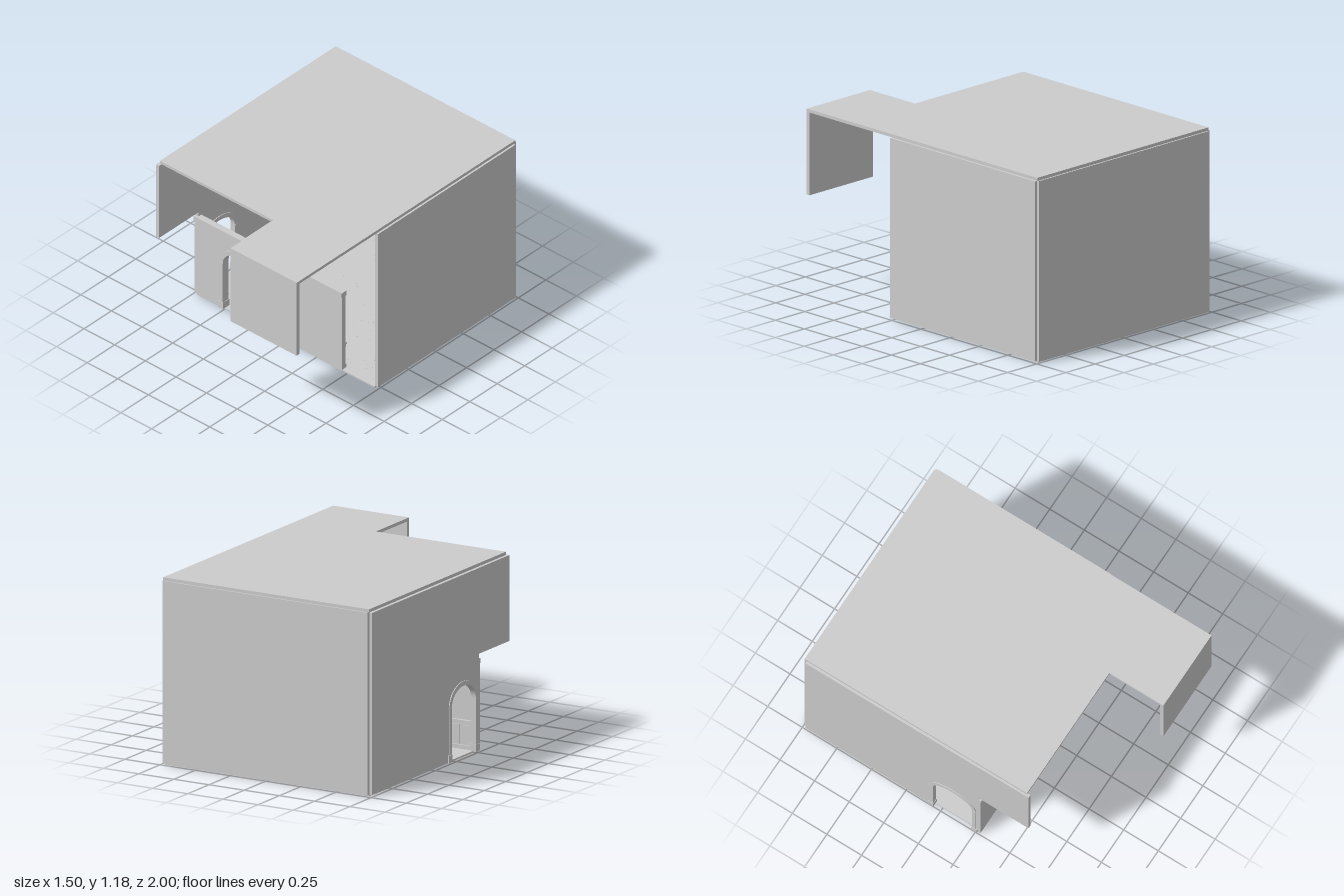
import * as THREE from 'three';
import { mergeGeometries } from 'three/addons/utils/BufferGeometryUtils.js';

const plaster = new THREE.MeshStandardMaterial({ color: 0xcccccc, side: THREE.DoubleSide });
plaster.name = 'plaster grey';

function add(parent, name, geometry) {
  const mesh = new THREE.Mesh(geometry, plaster);
  mesh.name = name;
  parent.add(mesh);
  return mesh;
}

// box given by its min and max on each axis
function box(parent, name, x0, x1, y0, y1, z0, z1) {
  const g = new THREE.BoxGeometry(x1 - x0, y1 - y0, z1 - z0);
  g.translate((x0 + x1) / 2, (y0 + y1) / 2, (z0 + z1) / 2);
  return add(parent, name, g);
}

function group(parent, name) {
  const g = new THREE.Group();
  g.name = name;
  parent.add(g);
  return g;
}

const FLOOR = 0.01, SPRING = 0.35;

// points of a flattened arch, from the left foot to the right foot
function archPoints(cx, halfWidth, rise) {
  const pts = [new THREE.Vector2(cx - halfWidth, FLOOR)];
  for (let i = 0; i <= 24; i++) {
    const a = Math.PI * (1 - i / 24);
    pts.push(new THREE.Vector2(cx + halfWidth * Math.cos(a), SPRING + rise * Math.sin(a)));
  }
  pts.push(new THREE.Vector2(cx + halfWidth, FLOOR));
  return pts;
}

function extrude(points, depth) {
  return new THREE.ExtrudeGeometry(new THREE.Shape(points), { depth, bevelEnabled: false });
}

// wall in local xy, outside facing +z, with an arched doorway, trim and plinths
function archWall(parent, name, u0, u1, top, cx, thickness, trimOut) {
  const g = group(parent, name);
  const V = (x, y) => new THREE.Vector2(x, y);
  add(g, 'wall', extrude([V(u0, FLOOR), ...archPoints(cx, 0.142, 0.11),
    V(u1, FLOOR), V(u1, top), V(u0, top)], thickness));
  const trim = add(g, 'archTrim', extrude(
    [...archPoints(cx, 0.168, 0.137), ...archPoints(cx, 0.14, 0.108).reverse()],
    thickness + trimOut * 2));
  trim.position.z = -trimOut;
  for (const s of [-1, 1]) {
    const c = cx + s * 0.157;
    box(g, 'plinth', c - 0.02, c + 0.02, FLOOR, 0.057, -trimOut - 0.003, thickness + trimOut + 0.003);
    box(g, 'impost', c - 0.016, c + 0.014, SPRING - 0.006, SPRING,
      -trimOut - 0.001, thickness + trimOut + 0.001);
  }
  return g;
}

// panelled dado along local x, facing +z; seams are the panel divisions
function wainscot(parent, name, u0, u1, seams) {
  const g = group(parent, name);
  box(g, 'skirting', u0, u1, FLOOR, 0.035, 0, 0.01);
  box(g, 'rail', u0, u1, 0.165, 0.182, 0, 0.008);
  box(g, 'cap', u0, u1, 0.182, 0.194, 0, 0.018);
  const ends = [u0, ...seams.filter(s => s > u0 + 0.05 && s < u1 - 0.05), u1];
  for (let i = 0; i + 1 < ends.length; i++) {
    box(g, 'panel', ends[i] + 0.014, ends[i + 1] - 0.014, 0.04, 0.16, 0, 0.005);
  }
  return g;
}

// sash window frame applied to the back wall
function windowFrame(parent, cx) {
  const g = group(parent, 'window');
  for (const s of [-1, 1]) box(g, 'jamb', cx + s * 0.165 - 0.007, cx + s * 0.165 + 0.007, 0.235, 0.75, 0, 0.02);
  box(g, 'mullion', cx - 0.006, cx + 0.006, 0.235, 0.75, 0, 0.015);
  box(g, 'sashRail', cx - 0.16, cx + 0.16, 0.486, 0.497, 0, 0.015);
  box(g, 'head', cx - 0.175, cx + 0.175, 0.747, 0.762, 0, 0.025);
  for (const u of [-0.17, 0, 0.17]) box(g, 'headBlock', cx + u - 0.01, cx + u + 0.01, 0.745, 0.766, 0, 0.028);
  box(g, 'sill', cx - 0.185, cx + 0.185, 0.215, 0.235, 0, 0.035);
  box(g, 'apron', cx - 0.17, cx + 0.17, 0.2, 0.215, 0, 0.015);
  g.position.z = -0.98;
}

// terrazzo chips set into the floor
function floorChips(parent) {
  let seed = 7;
  const rnd = () => (seed = (seed * 16807) % 2147483647) / 2147483647;
  const chips = [];
  for (let i = 0; i < 500; i++) {
    const r = 0.003 + rnd() * 0.004;
    const c = new THREE.CylinderGeometry(r, r, 0.0105, 5);
    c.rotateY(rnd() * 6.28);
    c.translate(-0.7 + rnd() * 1.4, 0.00525, -0.96 + rnd() * 1.2);
    chips.push(c);
  }
  add(parent, 'floorChips', mergeGeometries(chips));
}

function pendantLamp(parent) {
  const g = group(parent, 'pendantLamp');
  const lathe = (name, pts) => add(g, name,
    new THREE.LatheGeometry(pts.map(p => new THREE.Vector2(p[0], p[1])), 28));
  lathe('canopy', [[0, 1.144], [0.018, 1.146], [0.026, 1.153], [0.026, 1.16]]);
  lathe('rod', [[0.003, 1.09], [0.003, 1.15]]);
  lathe('shade', [[0.062, 1.06], [0.06, 1.07], [0.05, 1.084], [0.035, 1.094], [0.015, 1.1], [0, 1.101]]);
  lathe('shadeLiner', [[0.062, 1.06], [0.055, 1.062], [0.035, 1.064], [0.012, 1.065]]);
  add(g, 'bulb', new THREE.SphereGeometry(0.012, 16, 12)).position.y = 1.056;
  g.position.set(-0.343, 0, 0.437);
}

export function createModel() {
  const model = new THREE.Group();
  model.name = 'shopInterior';

  // floor
  box(model, 'floor', -0.725, 0.725, 0.001, 0.01, -0.985, 0.28);
  floorChips(model);

  // L-shaped ceiling slab
  const slab = [[-0.73, -0.99], [0.735, -0.99], [0.735, 1], [0.195, 1], [0.195, 0.61], [-0.73, 0.61]];
  const ceiling = extrude(slab.map(p => new THREE.Vector2(p[0], p[1])), 0.02);
  ceiling.rotateX(Math.PI / 2);
  ceiling.translate(0, 1.178, 0);
  add(model, 'ceiling', ceiling);

  // outer walls and the hanging front panel
  box(model, 'backWall', -0.725, 0.73, 0.01, 1.158, -1, -0.98);
  box(model, 'leftWall', 0.72, 0.745, 0.01, 1.155, -0.98, 0.27);
  box(model, 'upperRightWall', -0.745, -0.72, 0.585, 1.155, -0.98, 0.272);
  box(model, 'overhangRightWall', -0.743, -0.72, 0.615, 1.155, 0.272, 0.63);
  box(model, 'hangingPanel', 0.195, 0.735, 0.632, 1.158, 0.975, 1);

  // front wall with doorway and ledge
  const front = archWall(model, 'frontWall', -0.743, 0.462, 0.555, -0.361, 0.03, 0.012);
  front.position.z = 0.252;
  box(model, 'frontLedge', -0.743, 0.464, 0.553, 0.585, 0.245, 0.288);

  // right wall with doorway
  const side = archWall(model, 'lowerRightWall', -0.98, 0.272, 0.585, 0.085, 0.025, 0.005);
  side.rotation.y = -Math.PI / 2;
  side.position.x = -0.72;

  // wainscot on all inner faces
  const seams = [-0.87, -0.58, -0.29, 0, 0.29, 0.58];
  wainscot(model, 'backWainscot', -0.72, 0.72, seams).position.z = -0.98;
  const left = wainscot(model, 'leftWainscot', -0.98, 0.26, seams);
  left.rotation.y = -Math.PI / 2;
  left.position.x = 0.72;
  const right = wainscot(model, 'rightWainscot', 0.1, 0.98, [0.29, 0.58]);
  right.rotation.y = Math.PI / 2;
  right.position.x = -0.72;
  for (const [a, b] of [[-0.46, 0.17], [0.54, 0.72]]) {
    const w = wainscot(model, 'frontWainscot', a, b, [-0.145, 0.63]);
    w.rotation.y = Math.PI;
    w.position.z = 0.252;
  }

  // cornice and picture rail
  box(model, 'backCornice', -0.72, 0.72, 1.14, 1.158, -0.98, -0.955);
  box(model, 'backPictureRail', -0.72, 0.72, 1.092, 1.108, -0.98, -0.97);
  for (const s of [-1, 1]) {
    box(model, 'sideCornice', s * 0.7125 - 0.0075, s * 0.7125 + 0.0075, 1.14, 1.155, -0.98, 0.26);
  }

  // windows, lamp and small fittings
  windowFrame(model, -0.35);
  windowFrame(model, 0.355);
  pendantLamp(model);
  box(model, 'wallUnit', -0.418, -0.39, 1.108, 1.144, -0.98, -0.94);
  box(model, 'wallFrame', -0.72, -0.698, 0.635, 0.89, -0.35, -0.05);
  box(model, 'shelf', -0.72, -0.635, 0.585, 0.6, -0.4, 0);
  return model;
}
